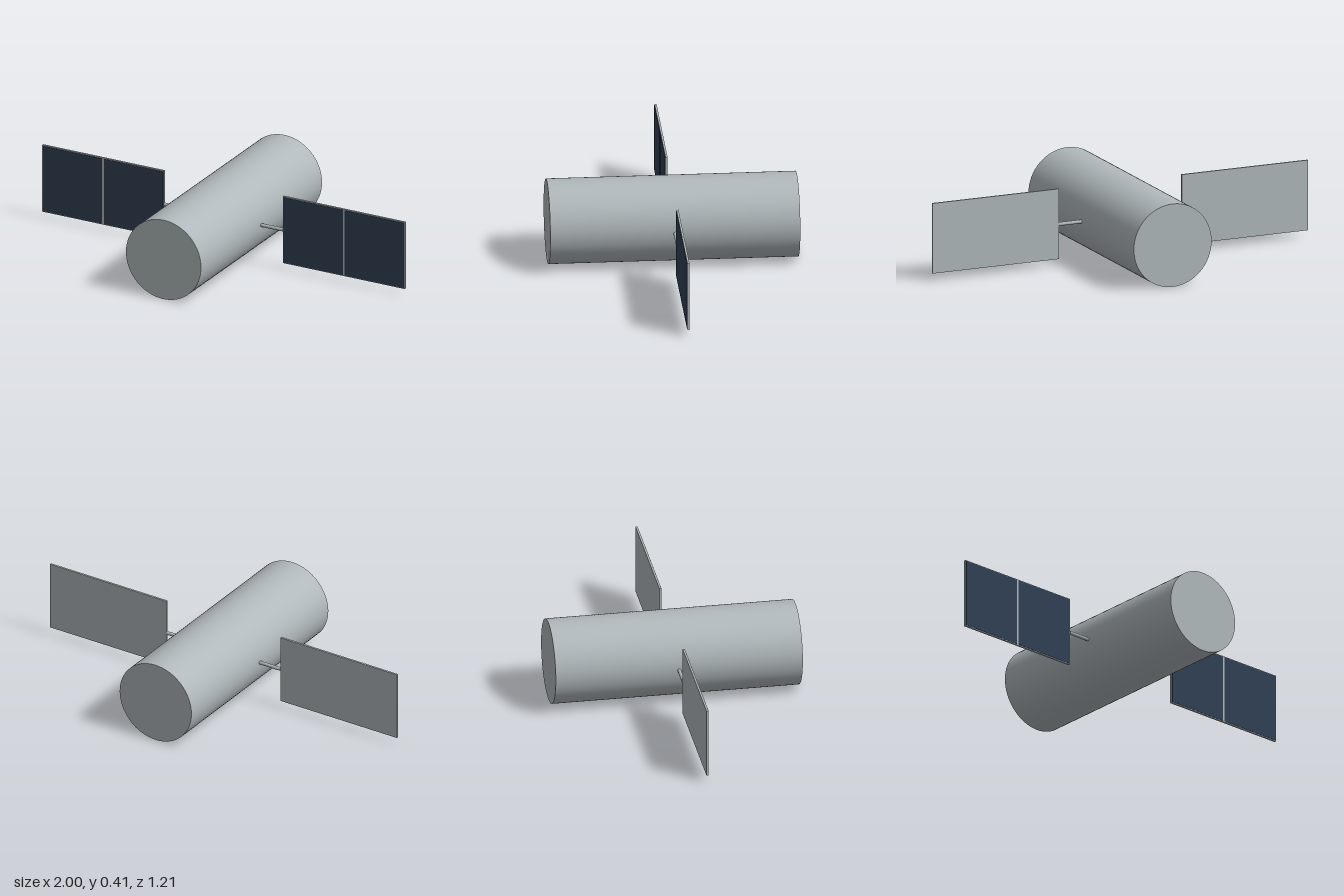
import * as THREE from 'three';

const R = 0.207; // hull radius, also the height of the main axis
const PANEL_IN = 0.328, PANEL_OUT = 1.0, PANEL_H = 0.35, PANEL_T = 0.01;

export function createModel() {
  const model = new THREE.Group();
  model.name = 'satellite';
  const metal = new THREE.MeshStandardMaterial({ name: 'light grey metal', color: 0xb0b8bb });
  const cell = new THREE.MeshStandardMaterial({ name: 'dark blue solar cell', color: 0x304054 });

  const add = (parent, name, geometry, material, x, y, z) => {
    const mesh = new THREE.Mesh(geometry, material);
    mesh.name = name;
    mesh.position.set(x, y, z);
    parent.add(mesh);
    return mesh;
  };

  // Plain cylindrical hull lying along z
  const hull = new THREE.CylinderGeometry(R, R, 1.212, 64).rotateX(Math.PI / 2);
  add(model, 'hull', hull, metal, 0, R, 0);

  // One wing on each side: boom, backing panel and two cells on the front face
  for (const [side, s] of [['left', 1], ['right', -1]]) {
    const wing = new THREE.Group();
    wing.name = `${side}Wing`;
    model.add(wing);

    const boomStart = 0.18;
    const boom = new THREE.CylinderGeometry(0.009, 0.009, PANEL_IN - boomStart, 16).rotateZ(Math.PI / 2);
    add(wing, `${side}Boom`, boom, metal, s * (boomStart + PANEL_IN) / 2, R, 0);

    const width = PANEL_OUT - PANEL_IN, mid = (PANEL_IN + PANEL_OUT) / 2;
    add(wing, `${side}Panel`, new THREE.BoxGeometry(width, PANEL_H, PANEL_T), metal, s * mid, R + 0.002, 0);

    const border = 0.004, gap = 0.01;
    const cellW = (width - 2 * border - gap) / 2;
    for (const [place, d] of [['inner', -1], ['outer', 1]]) {
      const plate = new THREE.BoxGeometry(cellW, PANEL_H - 2 * border, 0.002);
      const x = s * (mid + d * (cellW + gap) / 2);
      add(wing, `${side}${place}SolarCell`, plate, cell, x, R + 0.002, PANEL_T / 2 + 0.0005);
    }
  }
  return model;
}
